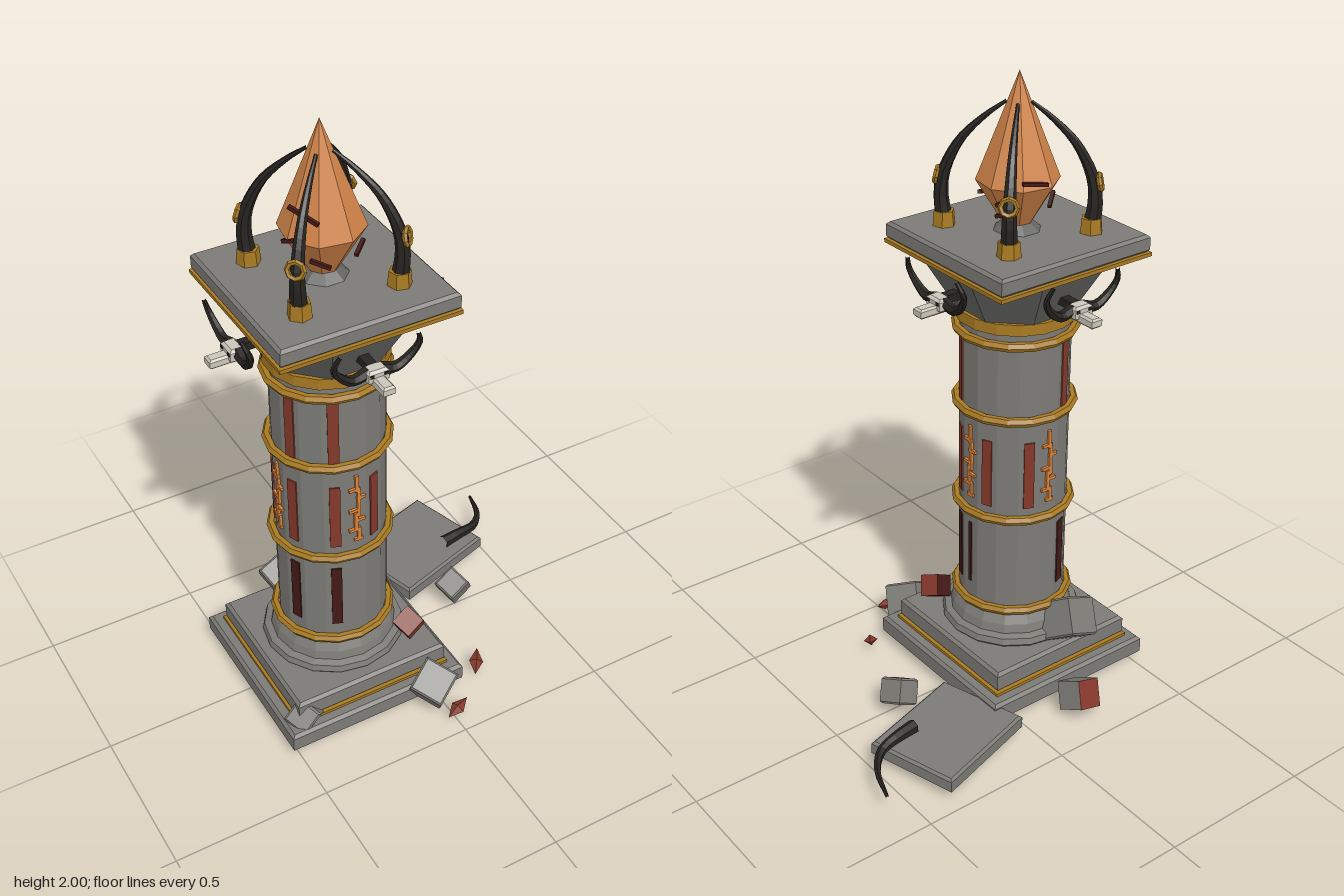
import * as THREE from 'three';

const mat = (name, color) => {
  const m = new THREE.MeshStandardMaterial({ color });
  m.name = name;
  return m;
};
const M = {
  stone: mat('stone', 0x7c7b76),
  darkStone: mat('dark stone', 0x666663),
  gold: mat('gold', 0xa87a22),
  red: mat('red inlay', 0x85382a),
  darkRed: mat('dark red inlay', 0x431a18),
  crystal: mat('orange crystal', 0xd08348),
  rune: mat('glowing rune', 0xdd8236),
  horn: mat('black horn', 0x262320),
  bone: mat('bone', 0xcbc6ba),
};

const flat = (g) => {
  const f = g.index ? g.toNonIndexed() : g;
  f.computeVertexNormals();
  return f;
};
function add(parent, name, geo, material, pos = [0, 0, 0], rot = [0, 0, 0]) {
  const mesh = new THREE.Mesh(geo, material);
  mesh.name = name;
  mesh.position.set(...pos);
  mesh.rotation.set(...rot);
  parent.add(mesh);
  return mesh;
}
// Block with chamfered edges, centred on its origin
function slab(w, h, d, b = 0.01) {
  const x = w / 2 - b, z = d / 2 - b;
  const s = new THREE.Shape([[-x, -z], [x, -z], [x, z], [-x, z]].map((p) => new THREE.Vector2(...p)));
  const g = new THREE.ExtrudeGeometry(s, { depth: h - 2 * b, bevelEnabled: true, bevelSize: b, bevelThickness: b, bevelSegments: 1 });
  g.translate(0, 0, b - h / 2);
  return g.rotateX(-Math.PI / 2);
}
// Curved horn that tapers from radius r0 to r1
function taper(points, r0, r1, sides = 6, steps = 12) {
  const curve = new THREE.CatmullRomCurve3(points.map((p) => new THREE.Vector3(...p)));
  const g = new THREE.TubeGeometry(curve, steps, 1, sides);
  const p = g.attributes.position, v = new THREE.Vector3();
  for (let i = 0; i < p.count; i++) {
    const t = Math.floor(i / (sides + 1)) / steps;
    const c = curve.getPointAt(t);
    v.fromBufferAttribute(p, i).sub(c).multiplyScalar(r0 + (r1 - r0) * t).add(c);
    p.setXYZ(i, v.x, v.y, v.z);
  }
  return flat(g);
}
// Skin between two eight-cornered rings, each given as [half width, corner start, height]
function octLoft(a, b) {
  const ring = ([h, c, y]) => [[c, h], [h, c], [h, -c], [c, -h], [-c, -h], [-h, -c], [-h, c], [-c, h]].map(([x, z]) => [x, y, z]);
  const A = ring(a), B = ring(b), out = [];
  for (let i = 0; i < 8; i++) {
    const j = (i + 1) % 8;
    out.push(...A[i], ...A[j], ...B[j], ...A[i], ...B[j], ...B[i]);
  }
  const g = new THREE.BufferGeometry();
  g.setAttribute('position', new THREE.Float32BufferAttribute(out, 3));
  g.computeVertexNormals();
  return g;
}
const cyl = (rt, rb, h, n = 16) => flat(new THREE.CylinderGeometry(rt, rb, h, n).rotateY(Math.PI / n));

function buildBase(p) {
  add(p, 'plinth', slab(0.614, 0.068, 0.614), M.stone, [0, 0.059, 0]);
  add(p, 'plinthTrim', new THREE.BoxGeometry(0.54, 0.012, 0.54), M.gold, [0, 0.097, 0]);
  add(p, 'upperStep', slab(0.525, 0.07, 0.525), M.stone, [0, 0.135, 0]);
  const profile = [[0.215, 0.165], [0.228, 0.18], [0.222, 0.2], [0.2, 0.207], [0.193, 0.235], [0.178, 0.265], [0.172, 0.285]];
  add(p, 'columnFoot', flat(new THREE.LatheGeometry(profile.map((q) => new THREE.Vector2(...q)), 16)), M.stone);
}

function buildShaft(p) {
  add(p, 'columnShaft', cyl(0.172, 0.172, 1.0), M.stone, [0, 0.775, 0]);
  for (const y of [0.285, 0.622, 0.97, 1.222]) {
    add(p, 'goldRing', flat(new THREE.TorusGeometry(0.182, 0.015, 6, 16).rotateX(Math.PI / 2)), M.gold, [0, y, 0]);
  }
  add(p, 'neckBand', cyl(0.188, 0.188, 0.036), M.gold, [0, 1.278, 0]);

  // Inlay strips, each at an angle round the shaft in degrees
  const inlay = (deg, y, h, m, w = 0.033) => {
    const g = new THREE.Group();
    g.name = 'inlay';
    g.rotation.y = THREE.MathUtils.degToRad(deg);
    add(g, 'inlayStrip', new THREE.BoxGeometry(w, h, 0.008), m, [0, y, 0.169]);
    p.add(g);
  };
  for (const deg of [-67.5, -22.5, 67.5, 202.5]) {
    inlay(deg, 0.455, 0.23, M.darkRed);
    inlay(deg, 1.09, 0.22, M.red);
  }
  for (const deg of [-112.5, -67.5, -22.5, 22.5, 67.5, 112.5, 157.5]) inlay(deg, 0.775, 0.23, M.red);
  inlay(90, 0.46, 0.22, M.darkRed, 0.011);

  // Rune on each side: broken stem with crossbars
  const bits = [[0, 0.89, 0.011, 0.06], [0.006, 0.815, 0.011, 0.1], [-0.004, 0.745, 0.011, 0.07], [0.006, 0.695, 0.011, 0.05],
    [-0.008, 0.87, 0.036, 0.01], [0.014, 0.835, 0.03, 0.01], [-0.008, 0.79, 0.038, 0.01], [0.008, 0.75, 0.036, 0.01],
    [-0.012, 0.715, 0.03, 0.01], [0.004, 0.676, 0.028, 0.01]];
  for (let k = 0; k < 4; k++) {
    const rune = new THREE.Group();
    rune.name = 'rune';
    rune.rotation.y = k * Math.PI / 2;
    for (const [x, y, w, h] of bits) add(rune, 'runeStroke', new THREE.BoxGeometry(w, h, 0.009), M.rune, [x, y, 0.1725]);
    p.add(rune);
  }
}

function buildCapital(p) {
  add(p, 'capitalFlare', octLoft([0.172, 0.072, 1.295], [0.264, 0.115, 1.46]), M.darkStone);
  add(p, 'capitalTrim', new THREE.BoxGeometry(0.562, 0.012, 0.562), M.gold, [0, 1.464, 0]);
  add(p, 'capitalPlate', slab(0.553, 0.056, 0.553, 0.009), M.stone, [0, 1.497, 0]);

  // Horned skull on each side
  for (let k = 0; k < 4; k++) {
    const s = new THREE.Group();
    s.name = 'hornedSkull';
    s.rotation.y = k * Math.PI / 2;
    add(s, 'skullCrown', slab(0.064, 0.042, 0.045, 0.008), M.bone, [0, 1.364, 0.286]);
    add(s, 'skullSnout', slab(0.038, 0.03, 0.1, 0.006), M.bone, [0, 1.35, 0.315]);
    add(s, 'skullMount', new THREE.BoxGeometry(0.03, 0.025, 0.08), M.horn, [0, 1.372, 0.24]);
    for (const m of [-1, 1]) {
      const pts = [[0.02, 1.37, 0.28], [0.065, 1.36, 0.282], [0.105, 1.385, 0.287], [0.132, 1.43, 0.297], [0.118, 1.475, 0.312]];
      add(s, 'skullHorn', taper(pts.map(([x, y, z]) => [m * x, y, z]), 0.019, 0.006), M.horn);
      add(s, 'eyeSocket', new THREE.BoxGeometry(0.012, 0.01, 0.004), M.horn, [m * 0.022, 1.372, 0.309]);
    }
    p.add(s);
  }
}

function buildCrystal(p) {
  add(p, 'crystalSocket', cyl(0.04, 0.075, 0.03, 8), M.darkStone, [0, 1.538, 0]);
  const profile = [[0, 1.545], [0.046, 1.55], [0.125, 1.68], [0, 2.0]];
  add(p, 'crystal', flat(new THREE.LatheGeometry(profile.map((q) => new THREE.Vector2(...q)), 8)), M.crystal, [0, 0, 0], [0, 0.23, 0]);
  // Thin splinters round the crystal: angle, radius, height, length, tilt
  const splinters = [[5.34, 0.108, 1.765, 0.095, -0.39], [0.7, 0.108, 1.63, 0.06, 0.3], [2.1, 0.112, 1.645, 0.055, 0.5], [2.89, 0.119, 1.7, 0.08, -0.15],
    [4.98, 0.12, 1.68, 0.06, 0.4], [5.74, 0.108, 1.62, 0.06, -0.4], [1.9, 0.08, 1.59, 0.05, 0.3], [3.8, 0.1, 1.625, 0.06, 0.5]];
  for (const [a, r, y, len, tilt] of splinters) {
    add(p, 'splinter', new THREE.BoxGeometry(len, 0.011, 0.011), M.darkRed, [Math.sin(a) * r, y, Math.cos(a) * r], [0, a, tilt]);
  }
  // Four claws bending in over the crystal
  for (let k = 0; k < 4; k++) {
    const c = new THREE.Group();
    c.name = 'claw';
    c.rotation.y = Math.PI / 4 + k * Math.PI / 2;
    const pts = [[0, 1.53, 0.215], [0, 1.62, 0.226], [0, 1.69, 0.217], [0, 1.79, 0.168], [0, 1.865, 0.095], [0, 1.91, 0.035]];
    add(c, 'clawHorn', taper(pts, 0.027, 0.005, 7, 16), M.horn);
    add(c, 'clawCuff', cyl(0.032, 0.036, 0.048, 6), M.gold, [0, 1.547, 0.217]);
    add(c, 'clawRing', flat(new THREE.TorusGeometry(0.024, 0.008, 5, 8)), M.gold, [0, 1.68, 0.238], [-0.2, 0, 0]);
    p.add(c);
  }
}

function buildDebris(p) {
  add(p, 'fallenSlab', slab(0.373, 0.052, 0.303, 0.008), M.stone, [0.26, 0.053, -0.26], [0, 0.295, 0]);
  const horn = [[0.345, 0.092, -0.2], [0.42, 0.092, -0.212], [0.485, 0.085, -0.228], [0.54, 0.075, -0.285], [0.575, 0.063, -0.388]];
  add(p, 'fallenHorn', taper(horn, 0.022, 0.005), M.horn);
  const cubes = [
    [0.083, [0.27, 0.075, -0.015], [0.35, 0.3, 0.45]],
    [0.114, [-0.032, 0.095, 0.352], [0.4, 0.6, 0.35]],
    [0.125, [-0.27, 0.23, -0.2], [0.55, 0.3, 0.3]],
    [0.085, [-0.45, 0.098, 0.265], [0.5, 0.5, 0.6]],
  ];
  for (const [s, pos, rot] of cubes) add(p, 'brokenBlock', slab(s, s, s, 0.006), M.stone, pos, rot);
  // Blocks with red inlaid faces (order +x, -x, +y, -y, +z, -z)
  const { red: r, stone: g, darkRed: d } = M;
  add(p, 'inlaidBlock', new THREE.BoxGeometry(0.09, 0.09, 0.09), [g, r, g, g, g, r], [-0.18, 0.072, -0.368], [0.45, 0.2, 0.25]);
  add(p, 'inlaidBlock', new THREE.BoxGeometry(0.07, 0.07, 0.07), [r, d, r, d, r, d], [-0.035, 0.235, 0.2], [0.4, 0.35, 0.4]);
  // Red shards on the ground
  for (const [x, z, a] of [[0.165, 0.3, 1.0], [0.007, 0.44, 0.35]]) {
    const m = add(p, 'redShard', flat(new THREE.OctahedronGeometry(1)), M.red, [x, 0.043, z], [0.25, a, 0.2]);
    m.scale.set(0.045, 0.018, 0.023);
  }
}

export function createModel() {
  const root = new THREE.Group();
  root.name = 'crystalPillar';
  const pillar = new THREE.Group();
  pillar.name = 'pillar';
  pillar.position.set(-0.215, 0, 0.024);
  [buildBase, buildShaft, buildCapital, buildCrystal].forEach((f) => f(pillar));
  const debris = new THREE.Group();
  debris.name = 'debris';
  buildDebris(debris);
  root.add(pillar, debris);
  return root;
}
